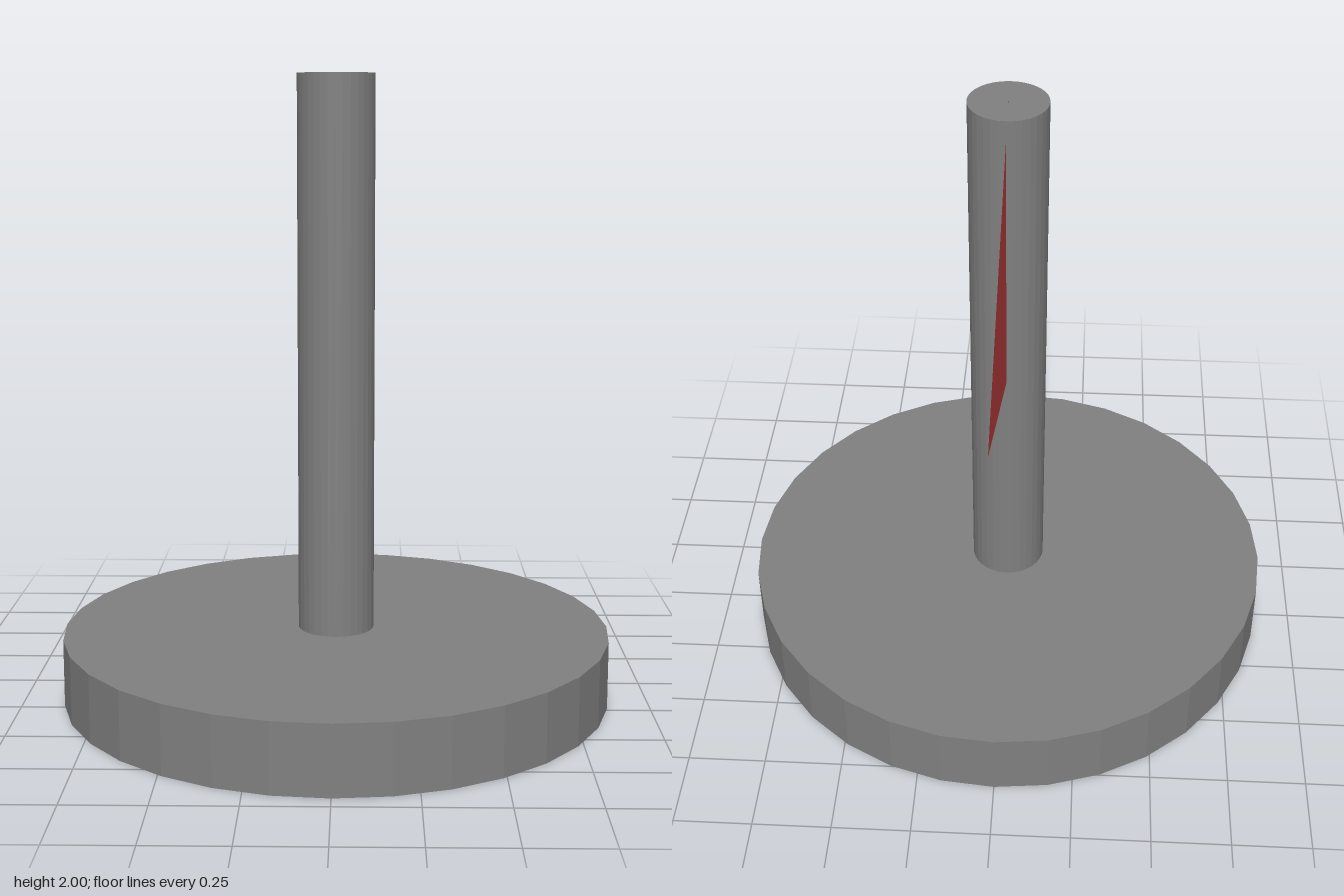
import * as THREE from 'three';

const POLE_Z = 0.065;

export function createModel() {
  const model = new THREE.Group();
  model.name = 'flagOnStand';

  const grey = new THREE.MeshStandardMaterial({ color: 0x808080, flatShading: true });
  grey.name = 'grey';
  const red = new THREE.MeshStandardMaterial({ color: 0xcc4444, side: THREE.DoubleSide });
  red.name = 'red';

  // Upright cylinder standing between two heights
  const addCylinder = (name, radius, bottom, top) => {
    const mesh = new THREE.Mesh(new THREE.CylinderGeometry(radius, radius, top - bottom, 32), grey);
    mesh.name = name;
    mesh.position.set(0, (bottom + top) / 2, POLE_Z);
    model.add(mesh);
  };
  addCylinder('base', 0.88, 0, 0.217);
  addCylinder('pole', 0.122, 0.217, 1.99);

  // Triangular pennant, starting at the pole axis and pointing backwards
  const pennant = new THREE.Shape([
    new THREE.Vector2(0, 2),
    new THREE.Vector2(0, 0.99),
    new THREE.Vector2(1.01, 1.495),
  ]);
  const flag = new THREE.Mesh(new THREE.ShapeGeometry(pennant), red);
  flag.name = 'flag';
  flag.rotation.y = Math.PI / 2;
  flag.position.z = POLE_Z;
  model.add(flag);

  return model;
}
